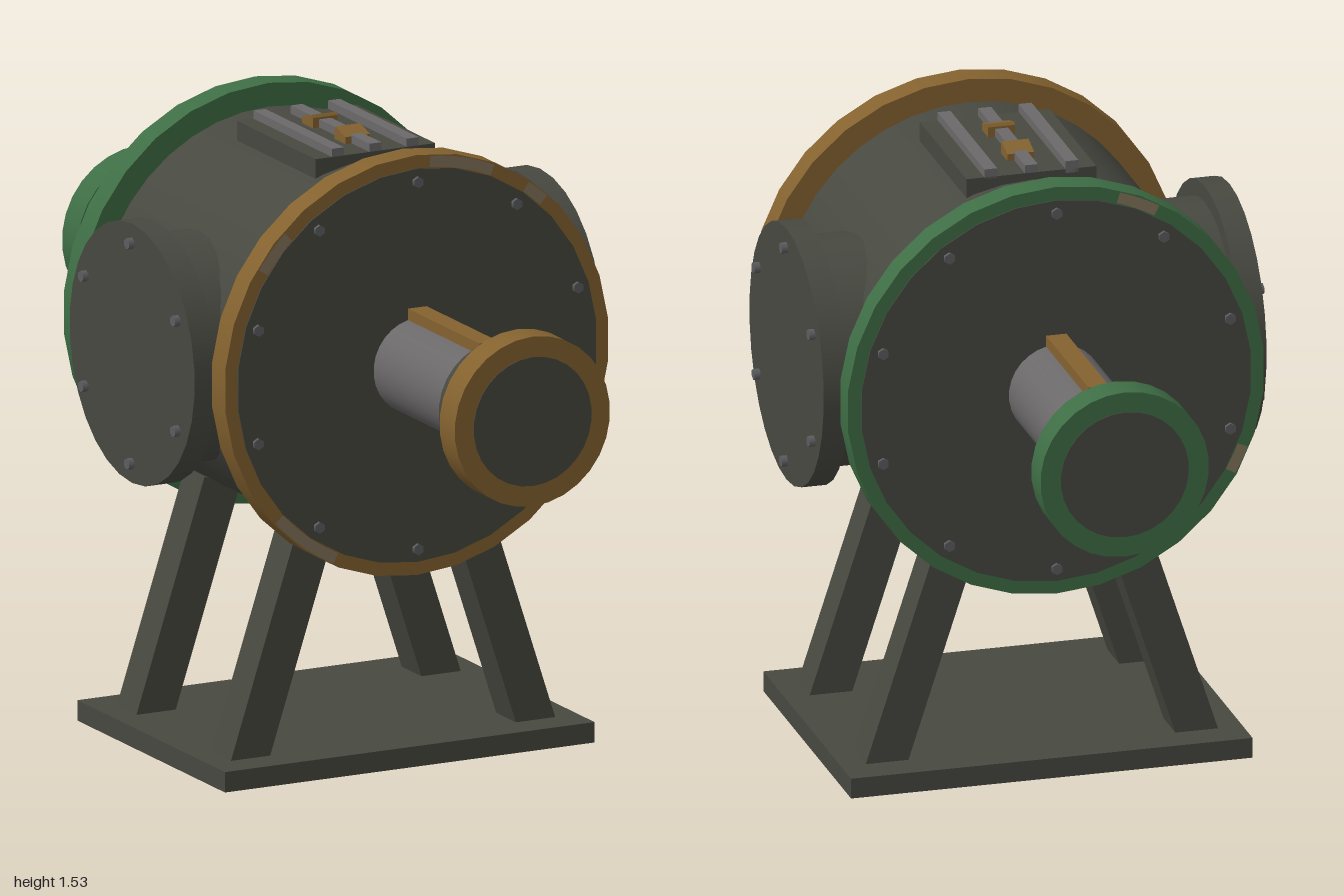
import * as THREE from 'three';

const mat = (name, color) => Object.assign(new THREE.MeshStandardMaterial({ color }), { name });

export function createModel() {
  const dark = mat('dark housing', 0x474840);
  const orange = mat('orange trim', 0x84622f);
  const green = mat('green trim', 0x3e6e45);
  const steel = mat('shaft steel', 0x6b686a);
  const bolt = mat('bolt grey', 0x5c5d5f);
  const worn = mat('worn metal', 0x85755d);

  const root = new THREE.Group();
  root.name = 'rotaryMachine';
  const CY = 1.02; // height of the main axis

  const add = (parent, name, geo, material, x = 0, y = 0, z = 0) => {
    const m = new THREE.Mesh(geo, material);
    m.name = name;
    m.position.set(x, y, z);
    parent.add(m);
    return m;
  };
  const box = (parent, name, w, h, d, material, x, y, z) =>
    add(parent, name, new THREE.BoxGeometry(w, h, d), material, x, y, z);
  // Cylinder along z, from z0 to z1
  const disc = (parent, name, r, z0, z1, material, x = 0, y = 0, sides = 30) =>
    add(parent, name, new THREE.CylinderGeometry(r, r, z1 - z0, sides).rotateX(Math.PI / 2),
      material, x, y, (z0 + z1) / 2);
  const boltCircle = (parent, count, r, z0, z1) => {
    for (let i = 0; i < count; i++) {
      const a = Math.PI / 2 + (i / count) * Math.PI * 2;
      disc(parent, 'bolt', 0.014, z0, z1, bolt, Math.cos(a) * r, Math.sin(a) * r, 6);
    }
  };

  // Drum
  disc(root, 'drum', 0.457, -0.345, 0.345, dark, 0, CY, 40);

  // One end: main flange, shaft, key, collar and coupling, built facing +z
  const makeEnd = (name, trim, patches) => {
    const g = new THREE.Group();
    g.name = name;
    g.position.y = CY;
    disc(g, 'mainFlange', 0.515, 0.342, 0.41, trim);
    disc(g, 'flangeFace', 0.482, 0.405, 0.413, dark);
    boltCircle(g, 10, 0.45, 0.41, 0.422);
    disc(g, 'shaft', 0.117, 0.41, 0.83, steel);
    box(g, 'shaftKey', 0.05, 0.05, 0.365, orange, 0, 0.117, 0.593);
    disc(g, 'collar', 0.157, 0.82, 0.925, dark);
    disc(g, 'coupling', 0.208, 0.92, 0.998, trim);
    disc(g, 'couplingFace', 0.158, 0.995, 1.0, dark);
    // Bare patches on the flange rim, given as start and sweep in degrees
    for (const [start, sweep] of patches) {
      add(g, 'wornPatch', new THREE.RingGeometry(0.483, 0.51, 6, 1,
        THREE.MathUtils.degToRad(start), THREE.MathUtils.degToRad(sweep)), worn, 0, 0, 0.412);
    }
    root.add(g);
    return g;
  };
  makeEnd('frontEnd', orange, [[66, 20], [47, 7], [134, 12], [222, 22]]);
  makeEnd('backEnd', green, [[60, 12], [330, 8]]).rotation.y = Math.PI;

  // Side ports with bolted covers
  for (const s of [-1, 1]) {
    const g = new THREE.Group();
    g.name = s > 0 ? 'leftPort' : 'rightPort';
    g.position.y = CY;
    g.rotation.y = (s * Math.PI) / 2;
    disc(g, 'portNeck', 0.277, 0.3, 0.49, dark);
    disc(g, 'portCover', 0.318, 0.485, 0.546, dark);
    boltCircle(g, 6, 0.27, 0.546, 0.561);
    root.add(g);
  }

  // Top plate with rails and wedge clips
  const top = new THREE.Group();
  top.name = 'topPanel';
  box(top, 'panelBase', 0.32, 0.05, 0.4, dark, 0, 1.47, 0);
  for (const x of [-0.1, 0, 0.1]) box(top, 'rail', 0.032, 0.03, 0.4, steel, x, 1.5, 0);
  for (const s of [-1, 1]) {
    const wedge = new THREE.Shape([[0.055, 1.49], [0.11, 1.49], [0.11, 1.512], [0.06, 1.527], [0.055, 1.52]]
      .map(([a, b]) => new THREE.Vector2(a, b)));
    const geo = new THREE.ExtrudeGeometry(wedge, { depth: 0.066, bevelEnabled: false });
    geo.translate(0, 0, -0.033).rotateY((s * Math.PI) / 2);
    add(top, 'clip', geo, orange);
  }
  root.add(top);

  // Stand: base plate and four splayed legs
  box(root, 'basePlate', 0.99, 0.05, 0.75, dark, 0, 0.05, 0);
  const tilt = THREE.MathUtils.degToRad(18);
  for (const sx of [-1, 1]) for (const sz of [-1, 1]) {
    const leg = box(root, 'leg', 0.1, 0.632, 0.1, dark, sx * 0.302, 0.32, sz * 0.24);
    leg.rotation.z = sx * tilt;
  }
  return root;
}
